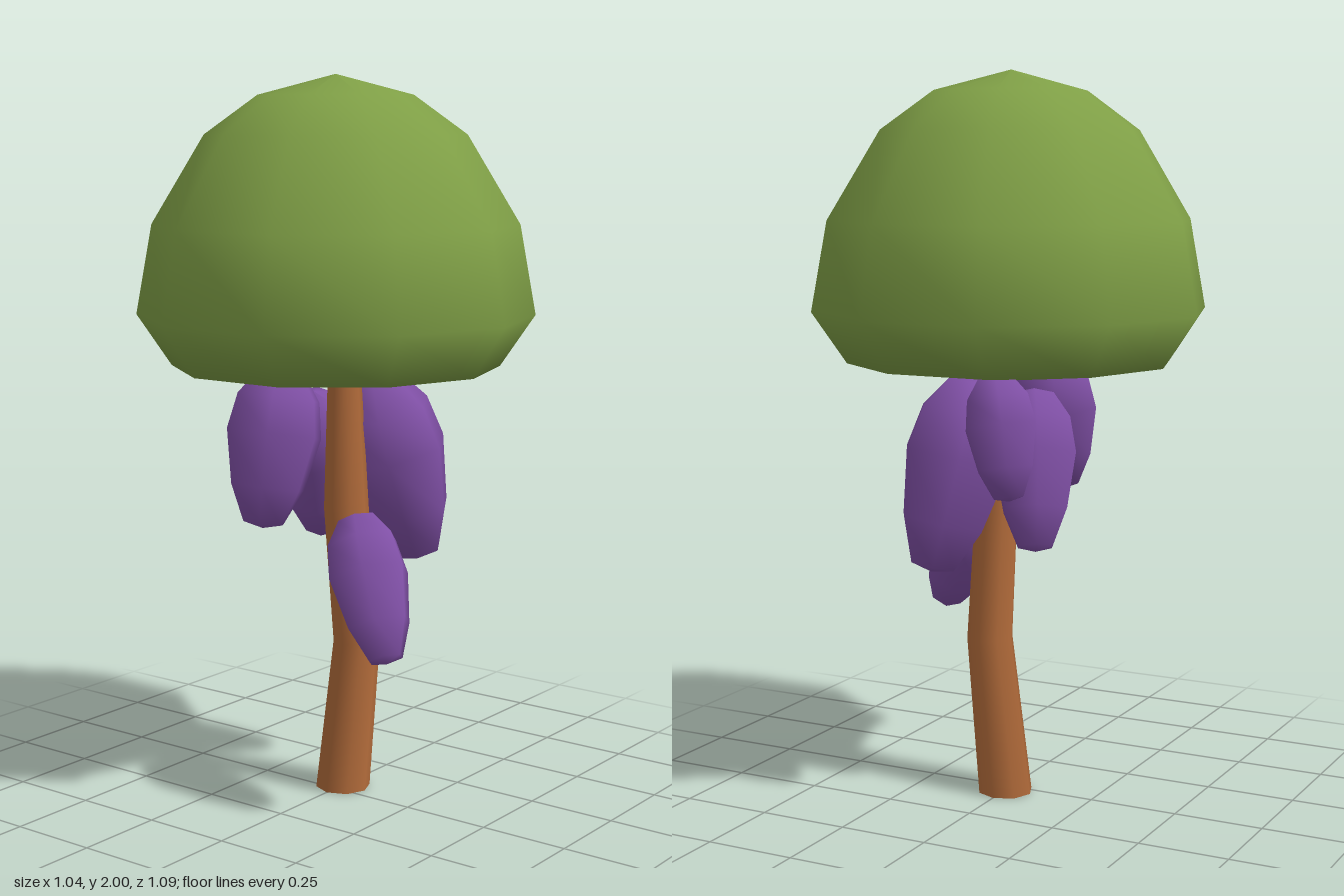
import * as THREE from 'three';

const material = (name, color) => {
  const m = new THREE.MeshStandardMaterial({ color });
  m.name = name;
  return m;
};

// Smooth-shaded turned form from [radius, height] pairs, bottom to top
const lathe = (profile, sides) =>
  new THREE.LatheGeometry(profile.map(([r, y]) => new THREE.Vector2(r, y)), sides);

// Bent trunk: a cylinder whose rings are moved to [x, y, z, radius] stations
function trunkGeometry(stations, sides) {
  const last = stations.length - 1;
  const geometry = new THREE.CylinderGeometry(1, 1, last, sides, last);
  const p = geometry.attributes.position;
  for (let i = 0; i < p.count; i++) {
    const [x, y, z, r] = stations[Math.round(p.getY(i) + last / 2)];
    p.setXYZ(i, x + p.getX(i) * r, y, z + p.getZ(i) * r);
  }
  return geometry;
}

export function createModel() {
  const group = new THREE.Group();
  group.name = 'podTree';
  const leafGreen = material('leafGreen', 0x7f9f46);
  const barkBrown = material('barkBrown', 0xb36c3b);
  const podPurple = material('podPurple', 0x8050a6);

  const add = (name, geometry, mat) => {
    const mesh = new THREE.Mesh(geometry, mat);
    mesh.name = name;
    group.add(mesh);
    return mesh;
  };

  // Domed crown with a shallow underside
  add('crown', lathe([
    [0, 1.16], [0.45, 1.215], [0.545, 1.355], [0.5, 1.6],
    [0.355, 1.84], [0.21, 1.945], [0, 2],
  ], 10), leafGreen);

  // Trunk
  add('trunk', trunkGeometry([
    [0.035, 0, 0, 0.077],
    [0.033, 0.44, 0.05, 0.066],
    [-0.03, 0.83, 0.06, 0.062],
    [0, 1.22, 0.03, 0.045],
  ], 8), barkBrown);

  // Six-sided pods hanging between a top and a bottom point
  const podGeometry = lathe([
    [0, 0], [0.42, 0.03], [0.77, 0.25], [1, 0.58], [0.87, 0.8], [0.48, 0.96], [0, 1],
  ], 6);
  const up = new THREE.Vector3(0, 1, 0);
  const pods = [
    ['rightPod', [-0.32, 0.815, 0], [-0.23, 1.24, 0], 0.135],
    ['lowerPod', [-0.2, 0.47, 0.32], [-0.08, 0.83, 0.13], 0.115],
    ['frontPod', [0.225, 0.655, 0.13], [0.11, 1.185, 0.05], 0.16],
    ['leftPod', [0.285, 0.88, -0.14], [0.235, 1.21, -0.07], 0.105],
    ['backPod', [0.12, 0.715, -0.135], [-0.02, 1.14, -0.06], 0.125],
  ];
  for (const [name, bottom, top, radius] of pods) {
    const base = new THREE.Vector3(...bottom);
    const axis = new THREE.Vector3(...top).sub(base);
    const pod = add(name, podGeometry, podPurple);
    pod.position.copy(base);
    pod.scale.set(radius, axis.length(), radius);
    pod.quaternion.setFromUnitVectors(up, axis.normalize());
  }

  return group;
}
